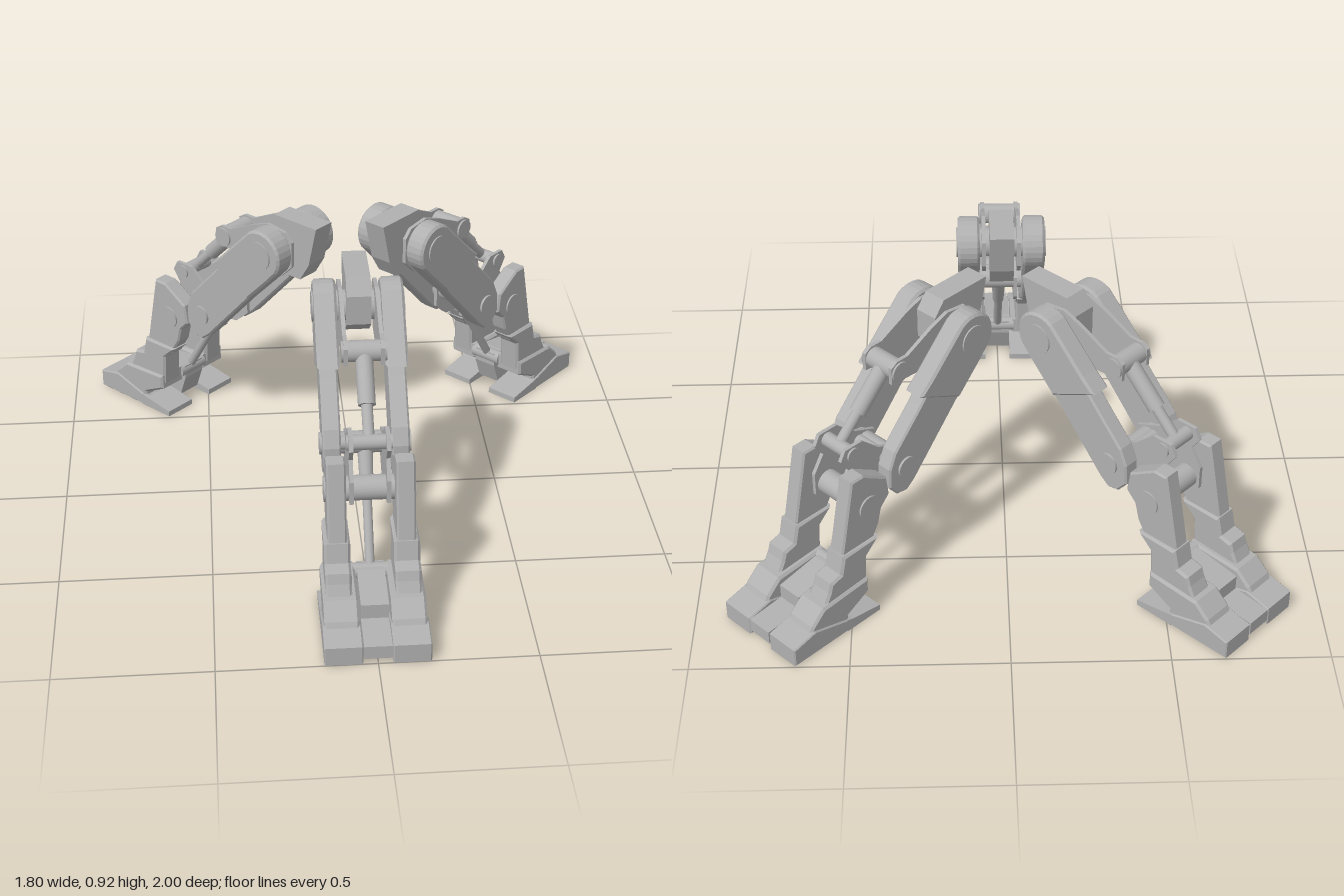
import * as THREE from 'three';

const steel = new THREE.MeshStandardMaterial({ color: 0xb0b0b0 });
steel.name = 'steel grey';

// Side profile [z, y] extruded between x0 and x1
function plate(parent, name, pts, x0, x1, bevel = 0) {
  const shape = new THREE.Shape(pts.map(([z, y]) => new THREE.Vector2(z, y)));
  const geo = new THREE.ExtrudeGeometry(shape, {
    depth: x1 - x0 - 2 * bevel, bevelEnabled: bevel > 0, bevelSize: bevel,
    bevelThickness: bevel, bevelOffset: -bevel, bevelSegments: 1,
  });
  geo.rotateY(-Math.PI / 2).translate(x1 - bevel, 0, 0);
  const mesh = new THREE.Mesh(geo, steel);
  mesh.name = name;
  parent.add(mesh);
}

// The same profile on both sides of the leg
function pair(parent, name, pts, x0, x1, bevel) {
  plate(parent, name + 'Left', pts, x0, x1, bevel);
  plate(parent, name + 'Right', pts, -x1, -x0, bevel);
}

// Cross pin along x at [z, y]
function pin(parent, name, [z, y], r, halfWidth) {
  const geo = new THREE.CylinderGeometry(r, r, 2 * halfWidth, 24);
  geo.rotateZ(Math.PI / 2).translate(0, y, z);
  const mesh = new THREE.Mesh(geo, steel);
  mesh.name = name;
  parent.add(mesh);
}

// Rod in the middle plane from one [z, y] to another
function rod(parent, name, a, b, r0, r1 = r0) {
  const p = new THREE.Vector3(0, a[1], a[0]);
  const q = new THREE.Vector3(0, b[1], b[0]);
  const mesh = new THREE.Mesh(new THREE.CylinderGeometry(r1, r0, p.distanceTo(q), 16), steel);
  mesh.position.copy(p).lerp(q, 0.5);
  mesh.quaternion.setFromUnitVectors(new THREE.Vector3(0, 1, 0), q.clone().sub(p).normalize());
  mesh.name = name;
  parent.add(mesh);
}

function arc([z, y], r, from, to, n) {
  return Array.from({ length: n + 1 }, (_, i) => {
    const t = THREE.MathUtils.degToRad(from + (to - from) * i / n);
    return [z + r * Math.cos(t), y + r * Math.sin(t)];
  });
}

const HIP = [0.176, 0.81], KNEE = [0.475, 0.475], ANKLE = [0.64, 0.41];
const ARM = [0.42, 0.775], CRANK = [0.63, 0.57], TOE = [0.69, 0.13];
const mix = (a, b, t) => [a[0] + (b[0] - a[0]) * t, a[1] + (b[1] - a[1]) * t];

function createLeg(name) {
  const leg = new THREE.Group();
  leg.name = name;

  // Hip mount
  plate(leg, 'hipMount', [[0.01, 0.92], [0.2, 0.92], [0.24, 0.87], [0.24, 0.77],
    [0.16, 0.71], [0.085, 0.71], [0.045, 0.775]], -0.04, 0.04);

  // Thigh: thick upper block and slimmer lower link
  pair(leg, 'upperThigh', [...arc(HIP, 0.088, 55, 215, 12), [0.15, 0.71], [0.24, 0.62],
    [0.41, 0.705], [0.36, 0.75]], 0.072, 0.145, 0.008);
  pair(leg, 'lowerThigh', [[0.25, 0.65], [0.235, 0.625], [0.44, 0.405], [0.475, 0.378], [0.515, 0.385],
    [0.548, 0.425], [0.545, 0.495], [0.52, 0.55], [0.405, 0.67], [0.37, 0.71]], 0.08, 0.138, 0.006);

  // Thin arm carrying the piston, and the knee crank plate
  pair(leg, 'pistonArm', [[0.455, 0.74], [0.455, 0.8], [0.43, 0.815], [0.385, 0.815], [0.28, 0.865],
    [0.21, 0.89], [0.13, 0.88], [0.1, 0.85], [0.1, 0.76], [0.15, 0.71], [0.24, 0.7], [0.34, 0.735]], 0.052, 0.065);
  pair(leg, 'kneeCrank', [[0.59, 0.6], [0.66, 0.6], [0.68, 0.565], [0.65, 0.52], [0.69, 0.46], [0.69, 0.38],
    [0.6, 0.36], [0.49, 0.37], [0.43, 0.42], [0.43, 0.5], [0.525, 0.54]], 0.052, 0.065);

  // Shin: slim head, flared calf
  pair(leg, 'shin', [[0.705, 0.54], [0.655, 0.54], [0.56, 0.48], [0.55, 0.41], [0.585, 0.375], [0.6, 0.32],
    [0.64, 0.255], [0.765, 0.255], [0.745, 0.35]], 0.078, 0.138, 0.006);
  pair(leg, 'calf', [[0.763, 0.285], [0.615, 0.285], [0.665, 0.235], [0.672, 0.12], [0.86, 0.12],
    [0.83, 0.18], [0.82, 0.212], [0.778, 0.222]], 0.068, 0.15, 0.008);

  // Foot: ankle block, toe pad and heel on each side
  pair(leg, 'footBlock', [[0.675, 0.155], [0.675, 0.1], [0.765, 0.055], [0.765, 0.03], [0.95, 0.03],
    [0.915, 0.1], [0.865, 0.145]], 0.05, 0.16, 0.008);
  pair(leg, 'toePad', [[0.76, 0], [1, 0], [1, 0.065], [0.91, 0.085], [0.76, 0.04]], 0.046, 0.166, 0.004);
  pair(leg, 'heel', [[0.64, 0], [0.78, 0], [0.78, 0.045], [0.755, 0.038], [0.64, 0.02]], 0.046, 0.166);
  plate(leg, 'middleToe', [[0.7, 0.02], [1, 0.02], [1, 0.065], [0.87, 0.075], [0.87, 0.125],
    [0.72, 0.15], [0.67, 0.15], [0.67, 0.1]], -0.044, 0.044);

  // Pivot pins and their side caps
  pin(leg, 'hipPin', HIP, 0.05, 0.15);
  pin(leg, 'armPin', ARM, 0.034, 0.072);
  pin(leg, 'kneePin', KNEE, 0.036, 0.146);
  pin(leg, 'kneeSpacer', [0.5, 0.49], 0.022, 0.1);
  pin(leg, 'crankPin', CRANK, 0.024, 0.072);
  pin(leg, 'anklePin', ANKLE, 0.04, 0.144);
  pin(leg, 'footPin', TOE, 0.025, 0.06);

  // Upper and lower pistons
  rod(leg, 'upperPistonBarrel', ARM, mix(ARM, CRANK, 0.6), 0.028);
  rod(leg, 'upperPistonRod', ARM, CRANK, 0.018);
  rod(leg, 'lowerPistonBarrel', KNEE, mix(KNEE, TOE, 0.45), 0.026, 0.02);
  rod(leg, 'lowerPistonRod', KNEE, TOE, 0.015);
  return leg;
}

export function createModel() {
  const model = new THREE.Group();
  model.name = 'tripodLegs';
  model.add(createLeg('frontLeg'));
  for (const s of [1, -1]) {
    const leg = createLeg(s > 0 ? 'rearLeftLeg' : 'rearRightLeg');
    leg.rotation.y = s * Math.PI * 0.75;
    leg.position.set(s * 0.078, 0, -0.174);
    model.add(leg);
  }
  return model;
}
